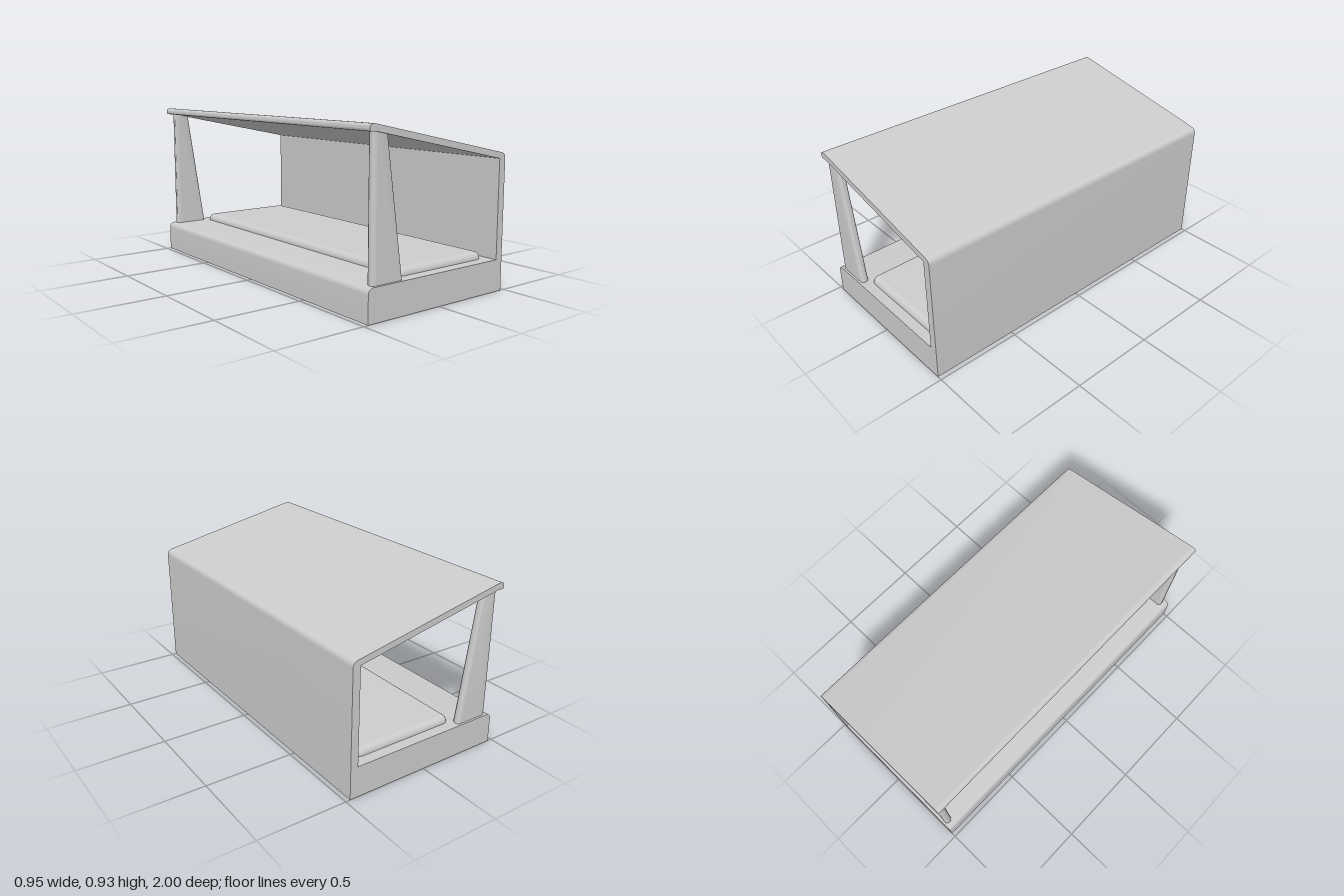
import * as THREE from 'three';
import { toCreasedNormals } from 'three/addons/utils/BufferGeometryUtils.js';
import { RoundedBoxGeometry } from 'three/addons/geometries/RoundedBoxGeometry.js';

const material = new THREE.MeshStandardMaterial({ color: 0xcccccc, side: THREE.DoubleSide });
const FLOOR = 0.175;

function addMesh(group, name, geometry) {
  const mesh = new THREE.Mesh(geometry, material);
  mesh.name = name;
  group.add(mesh);
  return mesh;
}

// Base, rear wall and sloping roof as one profile; the underside is left open
function shellGeometry() {
  const s = new THREE.Shape();
  s.moveTo(0.474, 0);
  s.lineTo(0.474, 0.715);
  s.quadraticCurveTo(0.474, 0.743, 0.444, 0.749);
  s.lineTo(-0.44, 0.932);
  s.quadraticCurveTo(-0.474, 0.939, -0.474, 0.91);
  s.quadraticCurveTo(-0.474, 0.896, -0.462, 0.896);
  s.lineTo(-0.434, 0.896);
  s.lineTo(0.43, 0.717);
  s.lineTo(0.43, FLOOR);
  s.lineTo(-0.444, FLOOR);
  s.absarc(-0.444, FLOOR - 0.03, 0.03, Math.PI / 2, Math.PI, false);
  s.lineTo(-0.474, 0);
  s.closePath();
  const solid = new THREE.ExtrudeGeometry(s, { depth: 2, bevelEnabled: false, curveSegments: 8 });
  const p = solid.attributes.position;
  const kept = [];
  for (let i = 0; i < p.count; i += 3) {
    if (Math.max(p.getY(i), p.getY(i + 1), p.getY(i + 2)) < 1e-5) continue;
    for (let j = i; j < i + 3; j++) kept.push(p.getX(j), p.getY(j), p.getZ(j) - 1);
  }
  const g = new THREE.BufferGeometry();
  g.setAttribute('position', new THREE.Float32BufferAttribute(kept, 3));
  return toCreasedNormals(g, 0.5);
}

// Upright with rounded edges, narrowing towards the top on its inner side
function pillarGeometry() {
  const x0 = -0.44, x1 = -0.24, h = 0.023, r = 0.021, bottom = FLOOR + 0.001, top = 0.9;
  const s = new THREE.Shape();
  s.absarc(x1 - r, h - r, r, 0, Math.PI / 2, false);
  s.absarc(x0 + r, h - r, r, Math.PI / 2, Math.PI, false);
  s.absarc(x0 + r, r - h, r, Math.PI, Math.PI * 1.5, false);
  s.absarc(x1 - r, r - h, r, Math.PI * 1.5, Math.PI * 2, false);
  s.closePath();
  const g = new THREE.ExtrudeGeometry(s, { depth: top - bottom, bevelEnabled: false, curveSegments: 6 });
  g.rotateX(-Math.PI / 2);
  g.translate(0, bottom, 0);
  const p = g.attributes.position;
  for (let i = 0; i < p.count; i++) {
    if (p.getY(i) > 0.5 && p.getX(i) > (x0 + x1) / 2) p.setX(i, p.getX(i) - 0.108);
  }
  return toCreasedNormals(g, 0.6);
}

// Floor mat with softened upper edges and a flat bottom
function matGeometry() {
  const g = new RoundedBoxGeometry(0.606, 0.082, 1.88, 5, 0.035);
  const p = g.attributes.position;
  for (let i = 0; i < p.count; i++) p.setY(i, Math.max(p.getY(i), 0.001));
  return g;
}

export function createModel() {
  const model = new THREE.Group();
  model.name = 'shelter';
  addMesh(model, 'baseWallAndRoof', shellGeometry());
  addMesh(model, 'floorMat', matGeometry()).position.set(0.083, FLOOR, 0);
  const pillar = pillarGeometry();
  for (const [name, z] of [['frontPillar', 0.966], ['backPillar', -0.966]]) {
    addMesh(model, name, pillar).position.z = z;
  }
  return model;
}
